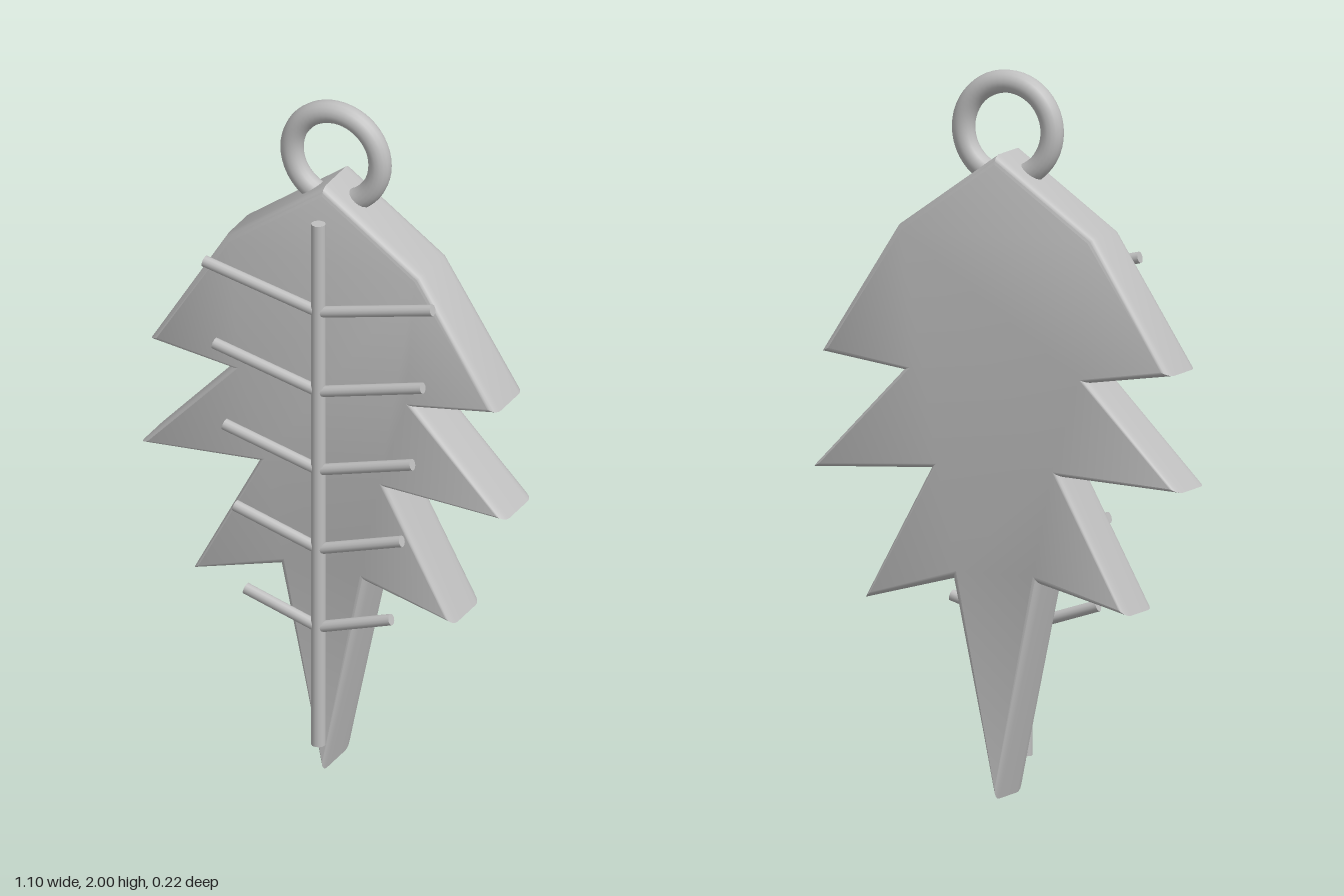
import * as THREE from 'three';
import { toCreasedNormals } from 'three/addons/utils/BufferGeometryUtils.js';

// Right half of the leaf outline, from top to bottom tip
const HALF = [
  [0, 1.775], [0.295, 1.565], [0.525, 1.2], [0.28, 1.165],
  [0.552, 0.88], [0.197, 0.9], [0.395, 0.53], [0.13, 0.6], [0, 0.0],
];

// Veins: start height on the stem, end x, end y
const VEINS = [
  [1.41, 0.345, 1.49], [1.168, 0.315, 1.247], [0.93, 0.284, 1.007],
  [0.69, 0.252, 0.767], [0.452, 0.22, 0.522],
];
const VEIN_Z = 0.09;

export function createModel() {
  const group = new THREE.Group();
  const metal = new THREE.MeshStandardMaterial({ color: 0xbfbfbf });
  metal.name = 'plain grey';

  const add = (name, geometry) => {
    const mesh = new THREE.Mesh(geometry, metal);
    mesh.name = name;
    group.add(mesh);
    return mesh;
  };

  // Cylinder between two points
  const rod = (name, from, to, radius) => {
    const dir = to.clone().sub(from);
    const mesh = add(name, new THREE.CylinderGeometry(radius, radius, dir.length(), 12));
    mesh.position.copy(from).add(to).multiplyScalar(0.5);
    mesh.quaternion.setFromUnitVectors(new THREE.Vector3(0, 1, 0), dir.normalize());
  };

  // Leaf body: mirrored outline with softly rounded edges
  const left = HALF.slice(1, -1).reverse().map(([x, y]) => [-x, y]);
  const outline = [...HALF, ...left].map(([x, y]) => new THREE.Vector2(x, y));
  const bevel = 0.03;
  const body = new THREE.ExtrudeGeometry(new THREE.Shape(outline), {
    depth: 0.175 - 2 * bevel, bevelThickness: bevel,
    bevelSize: 0.02, bevelOffset: -0.02, bevelSegments: 4,
  });
  body.translate(0, 0, -0.107 + bevel);
  add('leafBody', toCreasedNormals(body, 0.6));

  // Central stem
  rod('stem', new THREE.Vector3(0, 0.095, VEIN_Z), new THREE.Vector3(0, 1.678, VEIN_Z), 0.02);

  // Side veins in mirrored pairs
  for (const [y0, x1, y1] of VEINS) {
    for (const side of [1, -1]) {
      rod(side > 0 ? 'leftVein' : 'rightVein',
        new THREE.Vector3(0, y0, VEIN_Z), new THREE.Vector3(side * x1, y1, VEIN_Z), 0.016);
    }
  }

  // Hanging ring
  const ring = add('hangingRing', new THREE.TorusGeometry(0.133, 0.032, 16, 48));
  ring.position.set(0, 1.835, -0.02);

  return group;
}
